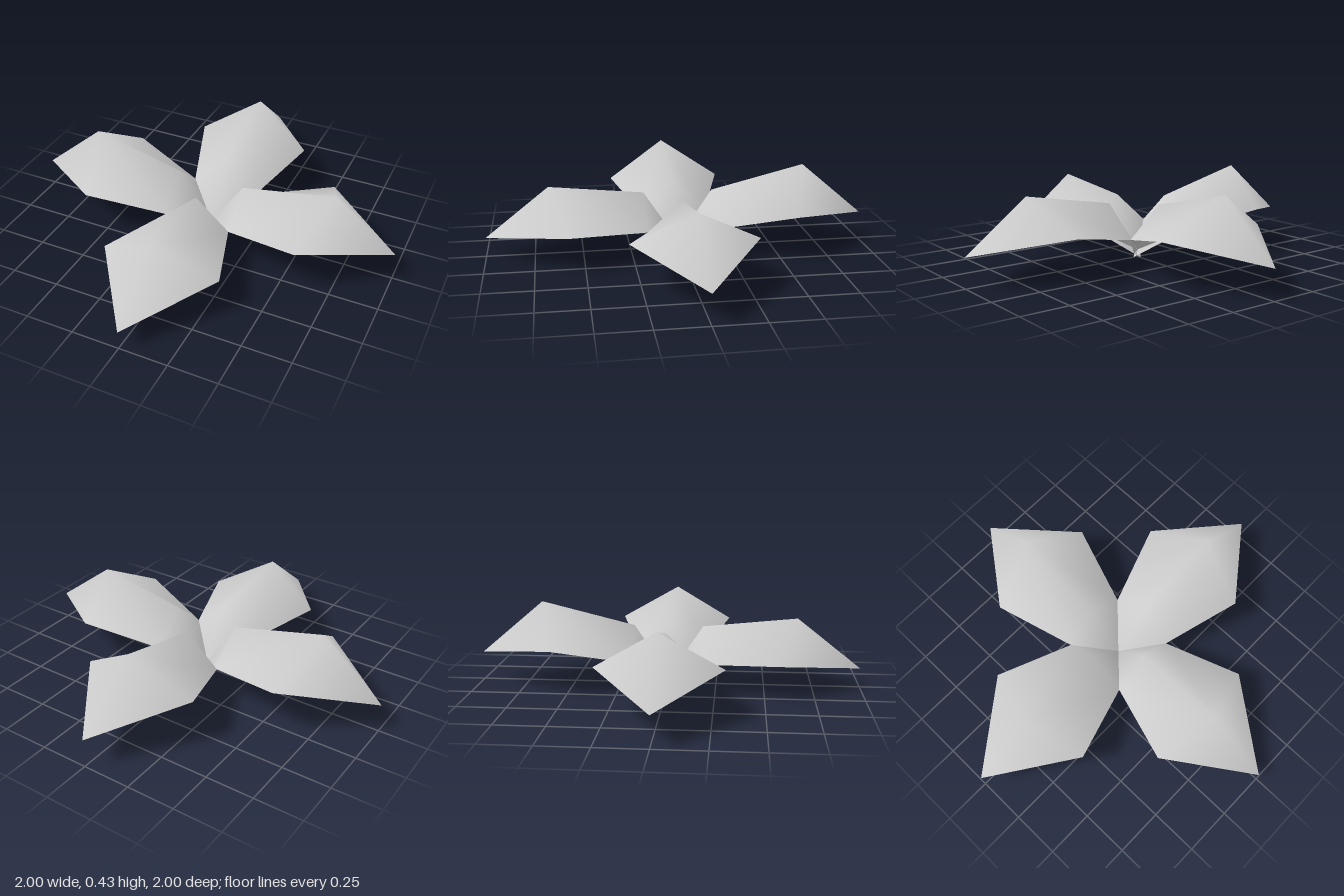
import * as THREE from 'three';

// One folded petal along +x: open tent of cross-sections from base point to tip.
function petalGeometry(ridgeY, outerEdgeY, tipY) {
  // [edge x, edge y, half width, ridge x, ridge y]
  const sections = [
    [0.18, 0.15, 0.18, 0.18, 0.31],
    [0.577, outerEdgeY, 0.31, 0.67, ridgeY],
  ];
  const points = [-0.025, 0, 0];
  for (const [ex, ey, w, rx, ry] of sections) {
    points.push(ex, ey, -w, rx, ry, 0, ex, ey, w);
  }
  points.push(1, tipY, 0);

  const index = [0, 2, 1, 0, 3, 2]; // base fan
  index.push(1, 2, 5, 1, 5, 4, 2, 3, 5, 3, 6, 5); // mid panels
  index.push(4, 5, 7, 5, 6, 7); // tip panels

  const geometry = new THREE.BufferGeometry();
  geometry.setAttribute('position', new THREE.Float32BufferAttribute(points, 3));
  geometry.setIndex(index);
  geometry.computeVertexNormals();
  return geometry;
}

export function createModel() {
  const group = new THREE.Group();
  group.name = 'fourPetalPlant';
  const petalGrey = new THREE.MeshStandardMaterial({ color: 0xcccccc, side: THREE.DoubleSide });
  petalGrey.name = 'petalGrey';

  // Each petal droops slightly differently: name, turn, ridge, outer edge, tip heights
  const petals = [
    ['leftPetal', 0, 0.4, 0.235, 0.15],
    ['backPetal', 1, 0.43, 0.235, 0.15],
    ['rightPetal', 2, 0.43, 0.235, 0.15],
    ['frontPetal', 3, 0.36, 0.182, 0.1],
  ];
  for (const [name, turn, ridgeY, edgeY, tipY] of petals) {
    const petal = new THREE.Mesh(petalGeometry(ridgeY, edgeY, tipY), petalGrey);
    petal.name = name;
    petal.rotation.y = (turn * Math.PI) / 2;
    group.add(petal);
  }
  return group;
}
